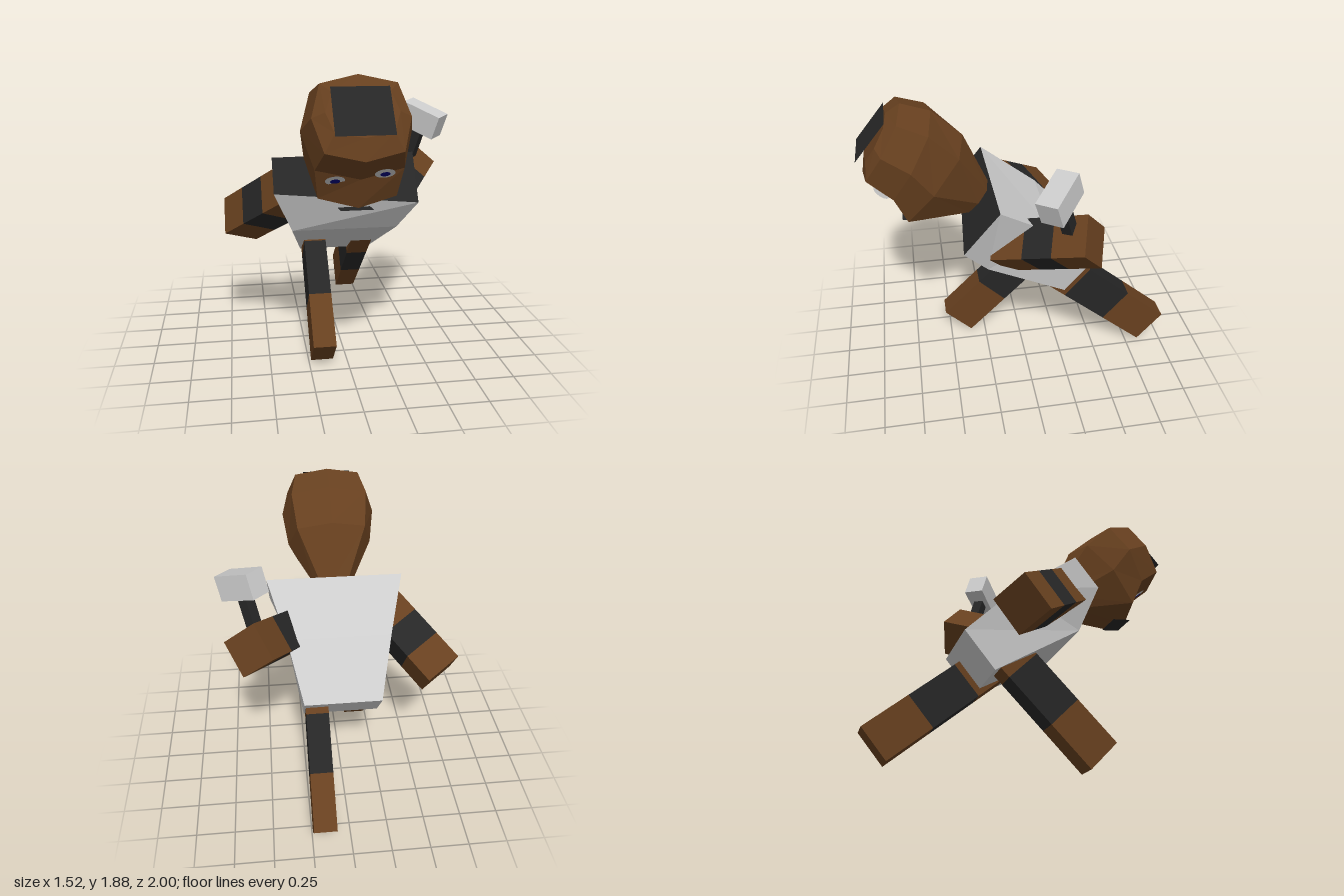
import * as THREE from 'three';

const BROWN = 0x67401f, DARK = 0x262626, GREY = 0xcccccc, NAVY = 0x00007a;

const material = (color) =>
  new THREE.MeshStandardMaterial({ color, flatShading: true, side: THREE.DoubleSide });

function addMesh(parent, name, geometry, color) {
  const mesh = new THREE.Mesh(geometry, material(color));
  mesh.name = name;
  parent.add(mesh);
  return mesh;
}

const vec = (a) => new THREE.Vector3(...a);

// Box spanned by three edge vectors from one corner
function boxFrom(corner, e1, e2, e3) {
  let [a, b, c] = [vec(e1), vec(e2), vec(e3)];
  if (a.clone().cross(b).dot(c) < 0) [a, b] = [b, a];
  const centre = vec(corner).addScaledVector(a, 0.5).addScaledVector(b, 0.5).addScaledVector(c, 0.5);
  const matrix = new THREE.Matrix4().makeBasis(a, b, c).setPosition(centre);
  return new THREE.BoxGeometry(1, 1, 1).applyMatrix4(matrix);
}

// Faceted skin over rings listed from top to bottom
function loft(rings, capTop, capBottom) {
  const out = [];
  const tri = (...pts) => pts.forEach((p) => out.push(...p));
  const n = rings[0].length;
  for (let r = 0; r < rings.length - 1; r++) {
    for (let i = 0; i < n; i++) {
      const j = (i + 1) % n, top = rings[r], low = rings[r + 1];
      tri(top[i], top[j], low[j]);
      tri(top[i], low[j], low[i]);
    }
  }
  const first = rings[0], last = rings[rings.length - 1];
  for (let i = 1; i < n - 1; i++) {
    if (capTop) tri(first[0], first[i + 1], first[i]);
    if (capBottom) tri(last[0], last[i], last[i + 1]);
  }
  const geometry = new THREE.BufferGeometry();
  geometry.setAttribute('position', new THREE.Float32BufferAttribute(out, 3));
  geometry.computeVertexNormals();
  return geometry;
}

// Limb of three stacked blocks: brown, dark, brown
function addLimb(parent, name, corner, e1, e2, direction, lengths) {
  const limb = new THREE.Group();
  limb.name = name;
  const dir = vec(direction).normalize();
  const start = vec(corner);
  ['End', 'Band', 'Root'].forEach((part, i) => {
    const edge = dir.clone().multiplyScalar(lengths[i]);
    addMesh(limb, name + part, boxFrom(start.toArray(), e1, e2, edge.toArray()), i === 1 ? DARK : BROWN);
    start.add(edge);
  });
  parent.add(limb);
}

function addTorso(parent) {
  // Each ring: front left, front right, back right, back left
  const rings = [
    [[0.44, 1.07, 0.415], [-0.45, 1.14, 0.355], [-0.45, 1.335, 0.2], [0.45, 1.345, 0.19]],
    [[0.34, 0.87, 0.26], [-0.335, 0.87, 0.26], [-0.335, 1.1, -0.16], [0.34, 1.1, -0.16]],
    [[0.255, 0.565, -0.265], [-0.24, 0.565, -0.265], [-0.24, 0.805, -0.465], [0.255, 0.805, -0.465]],
  ];
  addMesh(parent, 'torso', loft(rings, false, true), GREY);
  addMesh(parent, 'shoulderYoke', loft([rings[0]], true, false).clone(), DARK);
}

function addHead(parent) {
  const head = new THREE.Group();
  head.name = 'head';
  parent.add(head);

  // Back point (z, y), front point (z, y) and half width, from crown to neck
  const sections = [
    [0.8, 1.83, 0.955, 1.58, 0.2],
    [0.713, 1.885, 0.976, 1.457, 0.27],
    [0.536, 1.826, 0.83, 1.33, 0.315],
    [0.354, 1.655, 0.77, 1.153, 0.285],
    [0.21, 1.325, 0.36, 1.137, 0.125],
  ];
  const rings = sections.map(([bz, by, fz, fy, w]) =>
    Array.from({ length: 8 }, (_, i) => {
      const a = (i * Math.PI) / 4, k = i % 2 ? 1.12 : 1;
      const c = (Math.cos(a) * k) / 2, s = Math.sin(a) * k;
      return [-w * s, (by + fy) / 2 + (fy - by) * c, (bz + fz) / 2 + (fz - bz) * c];
    }));
  addMesh(head, 'skull', loft(rings, true, true), BROWN);

  // Square patch on the brow
  const patch = addMesh(head, 'browPatch', new THREE.PlaneGeometry(0.32, 0.298), DARK);
  patch.position.set(-0.005, 1.715, 0.905);
  patch.rotation.x = -0.69;

  // Mouth plate under the chin
  const mouth = addMesh(head, 'mouth', new THREE.PlaneGeometry(0.19, 0.13), DARK);
  mouth.position.set(-0.005, 1.13, 0.7);
  mouth.rotation.x = 1.45;

  // Eyes facing down and forward
  [['leftEye', 0.125, 1.37, 0.872], ['rightEye', -0.14, 1.325, 0.815]].forEach(([name, x, y, z]) => {
    const eye = new THREE.Group();
    eye.name = name;
    addMesh(eye, 'eyeWhite', new THREE.CircleGeometry(0.056, 20), GREY);
    addMesh(eye, 'pupil', new THREE.CircleGeometry(0.028, 16), NAVY).position.z = 0.005;
    eye.position.set(x, y, z);
    eye.rotation.x = 0.92;
    head.add(eye);
  });
}

function addHammer(parent) {
  const hammer = new THREE.Group();
  hammer.name = 'hammer';
  const up = vec([0.217, 0.93, 0.28]).normalize();
  const along = vec([-0.198, 0.1, -0.16]);
  along.addScaledVector(up, -along.dot(up)).normalize();
  const matrix = new THREE.Matrix4().makeBasis(along, up, along.clone().cross(up));
  hammer.quaternion.setFromRotationMatrix(matrix);
  hammer.position.set(0.595, 1.51, -0.128);
  addMesh(hammer, 'hammerHead', new THREE.BoxGeometry(0.275, 0.16, 0.142), GREY);
  addMesh(hammer, 'hammerHandle', new THREE.BoxGeometry(0.07, 0.3, 0.07), DARK).position.y = -0.22;
  parent.add(hammer);
}

export function createModel() {
  const model = new THREE.Group();
  model.name = 'figure';

  addTorso(model);
  addHead(model);

  // Striding legs
  addLimb(model, 'rightLeg', [-0.235, 0.005, 0.354], [0.145, 0, 0], [0, 0.182, 0.181],
    [0, 1, -1], [0.36, 0.385, 0.25]);
  addLimb(model, 'leftLeg', [0.1, 0.035, -0.828], [0.145, 0, 0], [0, 0.198, -0.168],
    [0, 0.65, 0.76], [0.358, 0.375, 0.37]);

  // Lowered right arm, and left arm reaching back with the hammer
  addLimb(model, 'rightArm', [-0.763, 0.963, -0.26], [0, -0.205, 0.16], [0.21, -0.09, -0.12],
    [0.587, 0.5, 0.635], [0.21, 0.21, 0.21]);
  addLimb(model, 'leftArm', [0.43, 1.17, -0.455], [0.107, 0.175, 0.14], [0.19, -0.165, 0.06],
    [-0.523, -0.314, 0.792], [0.22, 0.2, 0.22]);
  addHammer(model);

  return model;
}
